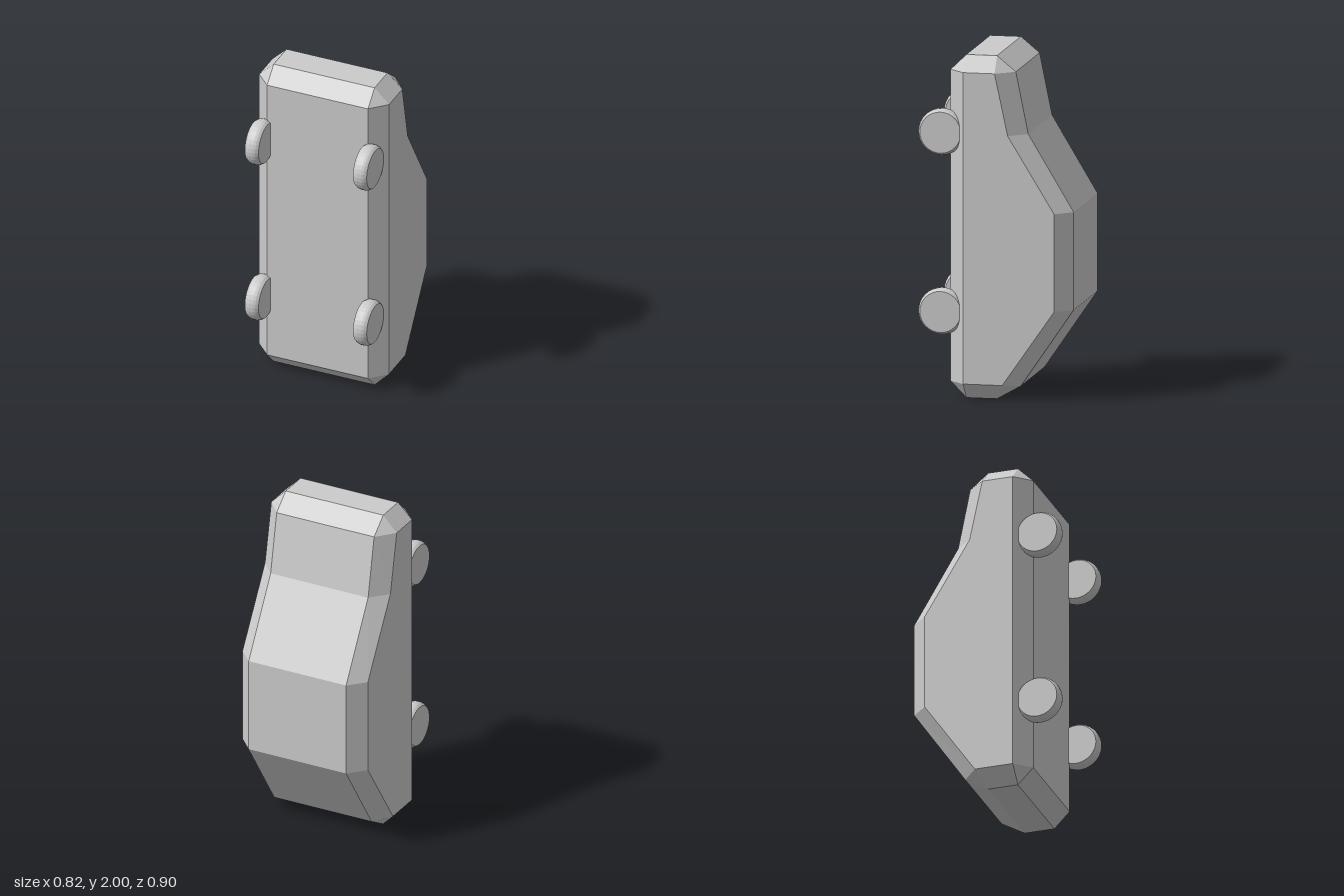
import * as THREE from 'three';

const material = new THREE.MeshStandardMaterial({ color: 0xcccccc, flatShading: true });

// Side profiles as [z, y]: the wide outline and the inset outline of the flat flanks
const outline = [[0.18, 0], [0, 0], [-0.14, 0.08], [-0.45, 0.535], [-0.45, 1.105], [-0.183, 1.55],
  [-0.11, 1.91], [0, 2], [0.18, 2], [0.273, 1.91], [0.273, 0.095]];
const flank = [[0.18, 0.095], [-0.05, 0.095], [-0.355, 0.535], [-0.355, 1.105], [-0.082, 1.55],
  [-0.005, 1.91], [0.18, 1.91]];
// Flank corner that each outline corner bevels to
const bevelTo = [0, 1, 1, 2, 3, 4, 5, 5, 6, 6, 0];

function bodyGeometry() {
  const inset = bevelTo.map(i => flank[i]);
  const rings = [[-0.408, inset], [-0.317, outline], [0.317, outline], [0.408, inset]]
    .map(([x, ring]) => ring.map(([z, y]) => new THREE.Vector3(x, y, z)));
  const positions = [];
  const triangle = (a, b, c) => {
    const area = b.clone().sub(a).cross(c.clone().sub(a)).length();
    if (area > 1e-8) for (const p of [a, b, c]) positions.push(p.x, p.y, p.z);
  };

  // Bevel, full-width skin, bevel
  const n = outline.length;
  for (let k = 0; k < 3; k++) {
    for (let i = 0; i < n; i++) {
      const j = (i + 1) % n;
      triangle(rings[k][i], rings[k][j], rings[k + 1][j]);
      triangle(rings[k][i], rings[k + 1][j], rings[k + 1][i]);
    }
  }

  // Flat flanks
  const contour = flank.map(([z, y]) => new THREE.Vector2(-z, y));
  const corner = (i, x) => new THREE.Vector3(x, flank[i][1], flank[i][0]);
  for (const [a, b, c] of THREE.ShapeUtils.triangulateShape(contour, [])) {
    triangle(corner(a, 0.408), corner(b, 0.408), corner(c, 0.408));
    triangle(corner(a, -0.408), corner(c, -0.408), corner(b, -0.408));
  }

  const geometry = new THREE.BufferGeometry();
  geometry.setAttribute('position', new THREE.Float32BufferAttribute(positions, 3));
  geometry.computeVertexNormals();
  return geometry;
}

// Disc with rounded shoulders, axle along x
function wheelGeometry() {
  const profile = [[0, -0.043], [0.12, -0.043], [0.131, -0.027], [0.135, -0.012],
    [0.135, 0.012], [0.131, 0.027], [0.12, 0.043], [0, 0.043]]
    .map(([r, h]) => new THREE.Vector2(r, h));
  return new THREE.LatheGeometry(profile, 32).rotateZ(Math.PI / 2);
}

export function createModel() {
  const model = new THREE.Group();
  model.name = 'upendedCar';

  const body = new THREE.Mesh(bodyGeometry(), material);
  body.name = 'body';
  model.add(body);

  // Four wheels on the front face
  const wheel = wheelGeometry();
  for (const [row, y] of [['upper', 1.55], ['lower', 0.505]]) {
    for (const [side, x] of [['Left', 0.34], ['Right', -0.34]]) {
      const mesh = new THREE.Mesh(wheel, material);
      mesh.name = `${row}${side}Wheel`;
      mesh.position.set(x, y, 0.319);
      model.add(mesh);
    }
  }
  return model;
}
